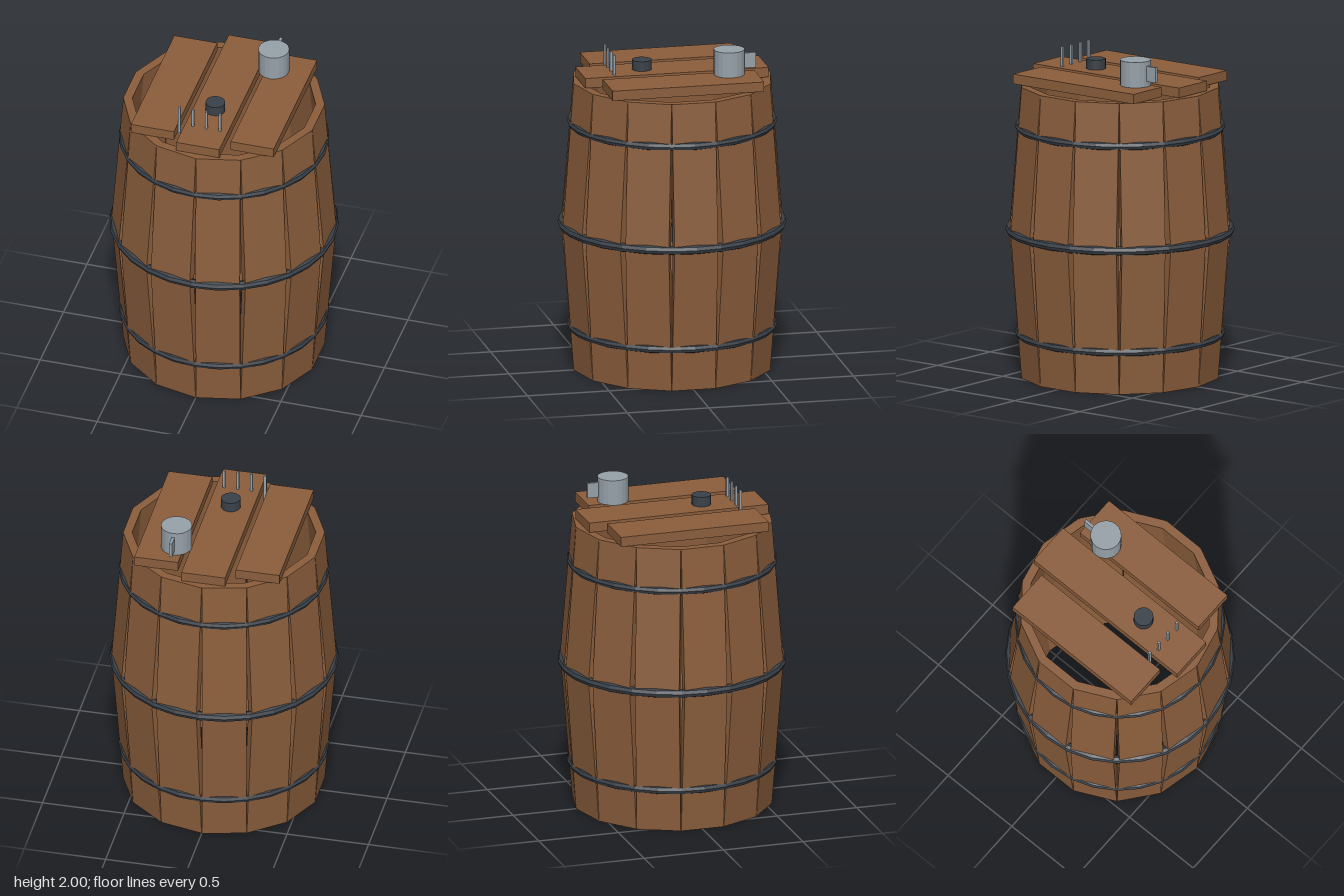
import * as THREE from 'three';

const HEIGHT = 1.78;
const STAVES = 14;

function material(name, color) {
  const m = new THREE.MeshStandardMaterial({ color, flatShading: true });
  m.name = name;
  return m;
}

// One plank with a single bend at mid height, bulging outwards along +z
function staveGeometry() {
  const rimInner = 0.536, rimOuter = 0.589, bulge = 0.072, width = 0.266;
  const thickness = rimOuter - rimInner;
  const g = new THREE.BoxGeometry(width, HEIGHT, thickness, 1, 2, 1);
  const p = g.attributes.position;
  for (let i = 0; i < p.count; i++) {
    const bend = 1 - Math.abs(p.getY(i)) / (HEIGHT / 2);
    p.setZ(i, p.getZ(i) + rimInner + thickness / 2 + bulge * bend);
  }
  g.translate(0, HEIGHT / 2, 0);
  g.computeVertexNormals();
  return g;
}

export function createModel() {
  const model = new THREE.Group();
  model.name = 'barrelTable';
  const wood = material('wood', 0x8b5e3c);
  const iron = material('darkIron', 0x3a4149);
  const metal = material('paleMetal', 0x97a1a9);

  const add = (name, geometry, mat, x = 0, y = 0, z = 0, parent = model) => {
    const mesh = new THREE.Mesh(geometry, mat);
    mesh.name = name;
    mesh.position.set(x, y, z);
    parent.add(mesh);
    return mesh;
  };

  // Ring of staves, with a seam on the front and back centre lines
  const staves = new THREE.Group();
  staves.name = 'staves';
  model.add(staves);
  const stave = staveGeometry();
  for (let i = 0; i < STAVES; i++) {
    add('stave', stave, wood, 0, 0, 0, staves).rotation.y = ((i + 0.5) / STAVES) * Math.PI * 2;
  }

  // Iron hoops
  for (const [name, y, radius, tube] of [
    ['lowerHoop', 0.26, 0.605, 0.026],
    ['middleHoop', 0.89, 0.659, 0.028],
    ['upperHoop', 1.52, 0.605, 0.026],
  ]) {
    const ring = new THREE.TorusGeometry(radius, tube, 8, 28).rotateX(Math.PI / 2);
    add(name, ring, iron, 0, y, 0);
  }

  // Three loose boards laid over the open top
  for (const [name, x, length] of [
    ['rightBoard', -0.311, 0.93],
    ['middleBoard', 0, 1.125],
    ['leftBoard', 0.311, 0.93],
  ]) {
    add(name, new THREE.BoxGeometry(0.268, 0.06, length), wood, x, 1.815, 0);
  }

  // Mug with a flat handle at the back
  const mug = new THREE.Group();
  mug.name = 'mug';
  mug.position.set(0.223, 1.845, -0.3);
  model.add(mug);
  add('mugBody', new THREE.CylinderGeometry(0.093, 0.093, 0.155, 20), metal, 0, 0.0775, 0, mug);
  add('mugHandle', new THREE.BoxGeometry(0.018, 0.093, 0.09), metal, 0, 0.08, -0.117, mug);

  // Dark bung on the middle board
  add('bung', new THREE.CylinderGeometry(0.059, 0.059, 0.06, 16), iron, 0, 1.875, 0.185);

  // Row of upright nails near the front
  for (let i = 0; i < 4; i++) {
    add('nail', new THREE.BoxGeometry(0.016, 0.186, 0.014), metal, -0.168 + i * 0.084, 1.873, 0.375);
  }

  return model;
}
